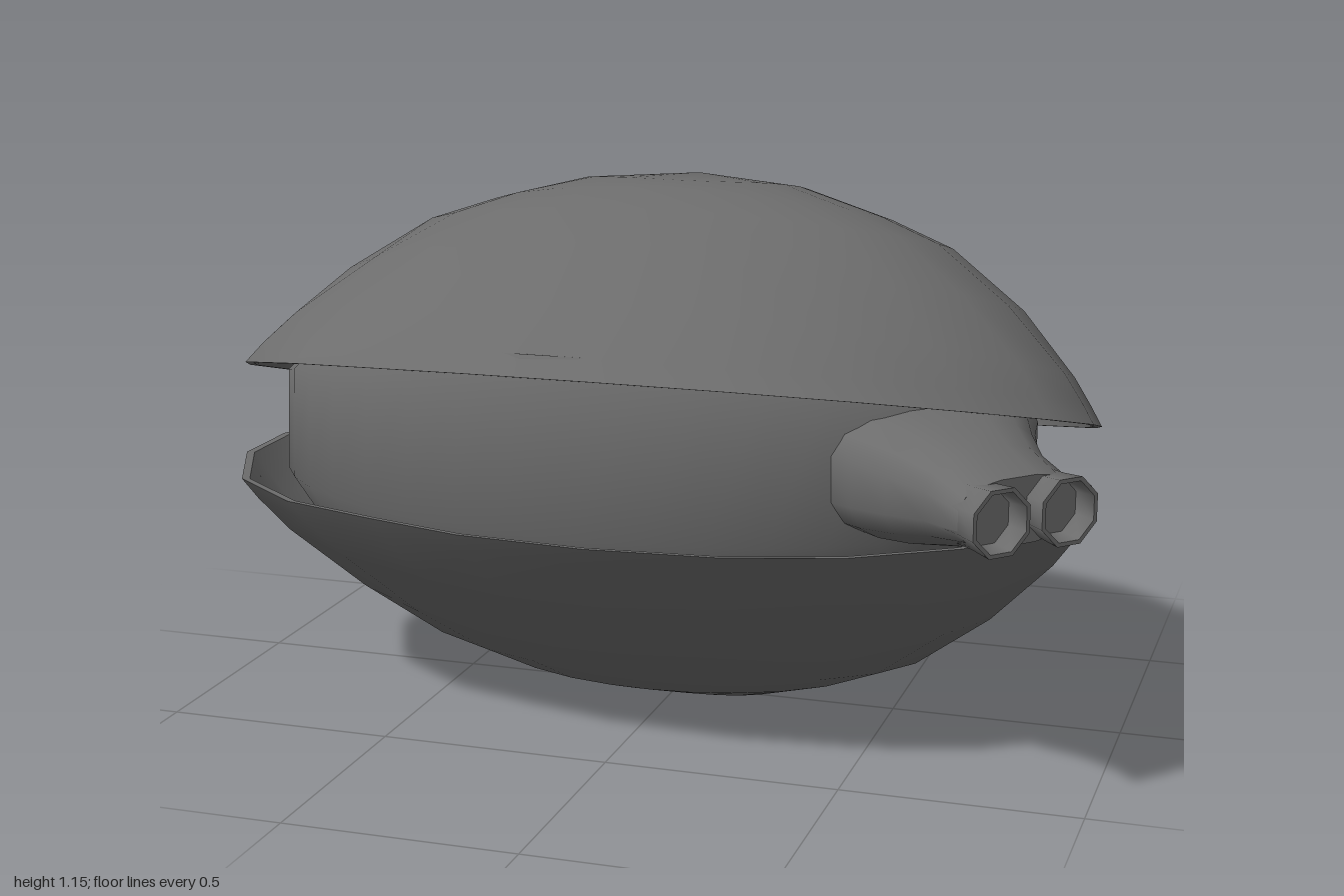
import * as THREE from 'three';
import { toCreasedNormals } from 'three/addons/utils/BufferGeometryUtils.js';

const material = new THREE.MeshStandardMaterial({ color: 0x6c6c6c, side: THREE.DoubleSide });
const V = (x, y, z) => new THREE.Vector3(x, y, z);
const { lerp, clamp } = THREE.MathUtils;

// Shell edge seen from above, counter-clockwise from the left end
const outline = [
  [0.93, 0], [0.9, -0.17], [0.78, -0.31], [0.65, -0.4], [0.52, -0.455], [0.28, -0.525], [0, -0.575],
  [-0.21, -0.645], [-0.34, -0.655], [-0.44, -0.59], [-0.54, -0.46], [-0.72, -0.355], [-0.94, -0.22],
  [-1, -0.07], [-1, 0.12], [-0.9, 0.34], [-0.72, 0.48], [-0.5, 0.55], [-0.28, 0.61], [0, 0.63],
  [0.28, 0.605], [0.52, 0.53], [0.72, 0.4], [0.86, 0.26], [0.93, 0.13],
];
// Bowl profiles [scale, height]: ends, front, and the inward curling one at the hinge
const ends = [[0, 0], [0.3, 0.025], [0.52, 0.085], [0.66, 0.14], [0.82, 0.265], [0.93, 0.4], [0.97, 0.455], [1, 0.5]];
const front = [[0, 0], [0.25, 0.035], [0.36, 0.06], [0.47, 0.115], [0.63, 0.2], [0.81, 0.34], [0.95, 0.455], [1, 0.5]];
const hinge = [[0, 0], [0.34, 0.035], [0.62, 0.07], [0.87, 0.13], [0.99, 0.23], [1, 0.385], [0.94, 0.475], [0.85, 0.497]];

// Outline rounded off by averaging neighbours
function rounded(points, passes) {
  const n = points.length;
  for (; passes > 0; passes--) {
    points = points.map((p, i) => p.map((v, k) =>
      v / 2 + (points[(i + 1) % n][k] + points[(i + n - 1) % n][k]) / 4));
  }
  return points;
}

// Surface through rings of equal point count
function loft(rings, flip = false, crease = 0.9) {
  const n = rings[0].length;
  const pos = rings.flat().flatMap((p) => [p.x, p.y, p.z]);
  const index = [];
  const add = (a, b, c) => (flip ? index.push(a, c, b) : index.push(a, b, c));
  for (let i = 0; i < rings.length - 1; i++) {
    for (let j = 0; j < n; j++) {
      const k = (j + 1) % n;
      const a = i * n + j, b = i * n + k, c = a + n, d = b + n;
      if (rings[i][j].distanceTo(rings[i][k]) > 1e-6) add(a, b, d);
      if (rings[i + 1][j].distanceTo(rings[i + 1][k]) > 1e-6) add(a, d, c);
    }
  }
  const g = new THREE.BufferGeometry();
  g.setAttribute('position', new THREE.Float32BufferAttribute(pos, 3));
  g.setIndex(index);
  return toCreasedNormals(g, crease);
}

// How strongly the hinge profile shapes each edge point
function bulge([x, z]) {
  if (z > -0.15) return 0;
  return clamp(x < -0.34 ? (x + 0.66) / 0.23 : (0.95 - x) / 1.15, 0, 1);
}

// Hollow half shell: outer rings out to the edge, inner rings back to the centre
function shellRings(mapPoint) {
  const ring = (i, inner) => rounded(outline, 2 * (5 - i)).map(([x, z], j) => {
    const w = bulge(outline[j]);
    const f = Math.max(0, outline[j][1] / 0.63) ** 2;
    const [s, y] = [0, 1].map((k) => lerp(lerp(ends[i][k], front[i][k], f), hinge[i][k], w));
    const r = inner ? s * 0.982 : s;
    return mapPoint(V(x * r, inner ? 0.012 + y * 0.976 : y, z * r));
  });
  const order = ends.map((_, i) => i);
  return [...order.map((i) => ring(i, false)), ...order.reverse().map((i) => ring(i, true))];
}

export function createModel() {
  const model = new THREE.Group();
  const add = (name, geometry, parent = model) => {
    const mesh = new THREE.Mesh(geometry, material);
    mesh.name = name;
    parent.add(mesh);
  };

  // Lower shell, and its mirror image opened 15 degrees about the hinge
  add('lowerShell', loft(shellRings((p) => p)));
  const open = -Math.PI / 12;
  const raise = (p) => V(p.x, 0.5 - p.y, p.z - 0.63)
    .applyAxisAngle(V(1, 0, 0), open).add(V(0, 0.83, 0.58));
  add('upperShell', loft(shellRings(raise), true));

  // Soft body: oval wall between the shells, its top sloping with the upper one
  const bodyRing = (scale, height) => Array.from({ length: 40 }, (_, j) => {
    const a = (j / 40) * Math.PI * 2;
    const x = -0.04 + 0.85 * scale * Math.cos(a);
    const z = 0.05 - 0.525 * scale * Math.sin(a);
    return V(x, height(z), z);
  });
  const slope = (lift) => (z) => 0.83 + (z - 0.58) * 0.26 + lift;
  add('body', loft([
    bodyRing(0, () => 0.4), bodyRing(0.92, () => 0.4), bodyRing(1, () => 0.5),
    bodyRing(0.99, slope(-0.01)), bodyRing(0.92, slope(0.05)), bodyRing(0, slope(0.08)),
  ]));

  // Siphon: wide boxy root narrowing to a pair of open tubes
  const siphon = new THREE.Group();
  siphon.name = 'siphon';
  model.add(siphon);
  const along = V(0.74, 0, 0.67).normalize();
  const side = V(along.z, 0, -along.x);
  const tip = V(0.9, 0.63, 0.583);
  const section = (n, t, offset, w, h, power = 1, lift = 0) => Array.from({ length: n }, (_, j) => {
    const a = ((j + 0.5) / n) * Math.PI * 2;
    const bend = (v) => Math.sign(v) * Math.abs(v) ** power;
    return tip.clone().addScaledVector(along, t)
      .addScaledVector(side, offset + w * bend(Math.cos(a)))
      .add(V(0, lift + h * bend(Math.sin(a)), 0));
  });
  add('siphonRoot', loft([
    section(16, -0.42, 0.06, 0.27, 0.13, 0.6, 0.01), section(16, -0.34, 0.03, 0.23, 0.132, 0.65, 0.01),
    section(16, -0.25, 0.01, 0.19, 0.12, 0.7, 0.008), section(16, -0.16, 0, 0.153, 0.098, 0.75, 0.005),
    section(16, -0.055, -0.004, 0.145, 0.068, 0.75), section(16, -0.055, 0, 0, 0),
  ], false, 0.8), siphon);
  for (const [name, offset] of [['leftTube', 0.077], ['rightTube', -0.085]]) {
    const ring = (t, r) => section(8, t, offset, r, r);
    add(name, loft([
      ring(-0.12, 0.066), ring(-0.055, 0.067), ring(0, 0.072),
      ring(0, 0.063), ring(-0.05, 0.058), ring(-0.05, 0),
    ]), siphon);
  }
  return model;
}
